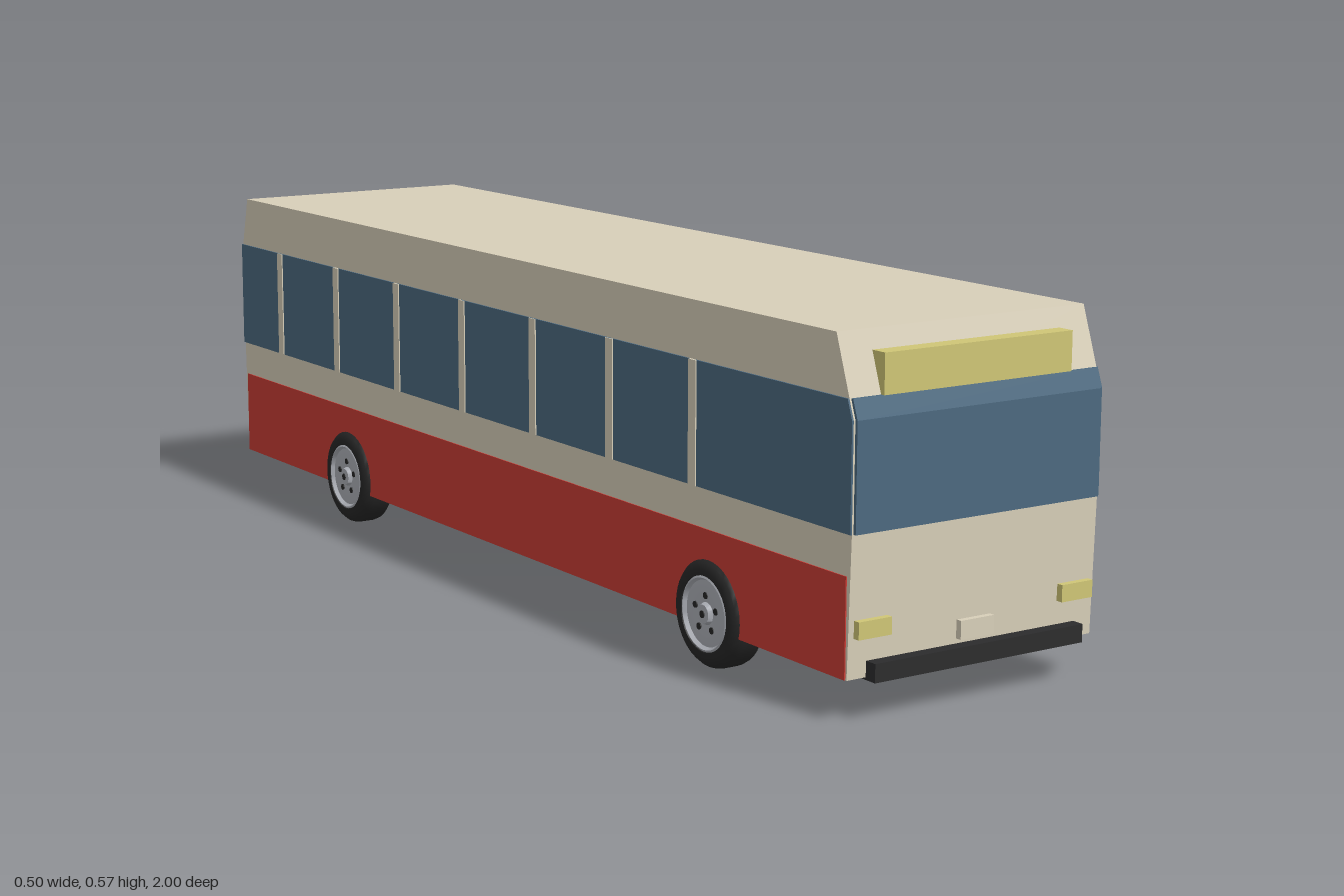
import * as THREE from 'three';
import { toCreasedNormals } from 'three/addons/utils/BufferGeometryUtils.js';

const material = (name, color, side = THREE.FrontSide) => {
  const m = new THREE.MeshStandardMaterial({ color, side });
  m.name = name;
  return m;
};

export function createModel() {
  const bus = new THREE.Group();
  bus.name = 'bus';
  const cream = material('cream paint', 0xd8cfb9);
  const red = material('red paint', 0xc93c35);
  const glass = material('blue glass', 0x4c697f);
  const yellow = material('yellow lamp', 0xcfc676);
  const rubber = material('black rubber', 0x262626);
  const bumperGrey = material('bumper black', 0x2c2c2d);
  const steel = material('wheel steel', 0xacafb6);
  const tailRed = material('tail lamp red', 0xc22f2c);

  const HALF = 0.235, FLOOR = 0.065, SILL = 0.283, TOP = 0.48;

  const add = (name, geometry, mat, parent = bus) => {
    const mesh = new THREE.Mesh(geometry, mat);
    mesh.name = name;
    parent.add(mesh);
    return mesh;
  };
  // Side profile given as [z, y] points, extruded from x0 to x1
  const profile = (name, points, x0, x1, mat) => {
    const shape = new THREE.Shape(points.map(p => new THREE.Vector2(...p)));
    const g = new THREE.ExtrudeGeometry(shape, { depth: x1 - x0, bevelEnabled: false });
    g.rotateY(-Math.PI / 2).translate(x1, 0, 0);
    return add(name, g, mat);
  };
  // Box given by its limits
  const box = (name, x0, x1, y0, y1, z0, z1, mat) => {
    const g = new THREE.BoxGeometry(x1 - x0, y1 - y0, z1 - z0);
    g.translate((x0 + x1) / 2, (y0 + y1) / 2, (z0 + z1) / 2);
    return add(name, g, mat);
  };
  // Thin plate on one side of the body (side = 1 left, -1 right)
  const sidePlate = (name, side, z0, z1, y0, y1, thick, mat) =>
    box(name, side > 0 ? HALF : -HALF - thick, side > 0 ? HALF + thick : -HALF, y0, y1, z0, z1, mat);

  // Body shell with raked roof ends
  profile('body', [
    [-0.978, FLOOR], [0.978, FLOOR], [0.985, SILL], [0.985, 0.45],
    [0.942, 0.572], [-0.962, 0.572], [-0.985, TOP], [-0.985, SILL],
  ], -HALF, HALF, cream);

  // Windscreen bends back with the roof rake; rear window is flat
  profile('windscreen', [
    [0.98, SILL], [0.99, SILL], [0.99, 0.45], [0.979, TOP], [0.97, TOP], [0.98, 0.45],
  ], -0.232, 0.232, glass);
  box('rearWindow', -0.232, 0.232, SILL, 0.472, -0.989, -0.98, glass);

  // Side windows and the pillars between them
  const pillars = [0.589, 0.355, 0.12, -0.115, -0.35, -0.584, -0.816];
  for (const side of [1, -1]) {
    const x0 = side > 0 ? HALF : -HALF - 0.003;
    profile('frontSideWindow', [
      [pillars[0], SILL], [0.985, SILL], [0.985, 0.45], [0.974, TOP], [pillars[0], TOP],
    ], x0, x0 + 0.003, glass);
    pillars.forEach((z, i) => {
      const end = i + 1 < pillars.length ? pillars[i + 1] : -0.985;
      sidePlate('sideWindow', side, end, z, SILL, TOP, 0.003, glass);
      sidePlate('windowPillar', side, z - 0.01, z + 0.01, SILL, TOP, 0.005, cream);
    });
  }

  // Doors on the left, with the red skirt broken around them
  const doors = [[0.755, 0.925], [-0.061, 0.109]];
  for (const [z0, z1] of doors) sidePlate('door', 1, z0, z1, FLOOR, SILL, 0.003, glass);
  for (const [z0, z1] of [[0.925, 0.975], [0.109, 0.755], [-0.975, -0.061]])
    sidePlate('skirtLeft', 1, z0, z1, FLOOR, 0.22, 0.002, red);
  sidePlate('skirtRight', -1, -0.975, 0.975, FLOOR, 0.22, 0.002, red);

  // Destination signs
  box('frontSign', -0.178, 0.178, TOP, 0.542, 0.945, 0.982, yellow);
  sidePlate('sideSign', 1, 0.41, 0.71, 0.494, 0.543, 0.004, yellow);

  // Lamps, plates and bumpers
  for (const s of [1, -1]) {
    const lamp = (name, a, b, y0, y1, z0, z1, mat) =>
      box(name, Math.min(s * a, s * b), Math.max(s * a, s * b), y0, y1, z0, z1, mat);
    lamp('headlight', 0.164, 0.225, 0.127, 0.154, 0.975, 0.992, yellow);
    lamp('tailLight', 0.176, 0.222, 0.118, 0.156, -0.992, -0.975, tailRed);
    box('numberPlate', -0.032, 0.032, 0.098, 0.127, s > 0 ? 0.97 : -0.99, s > 0 ? 0.99 : -0.97, cream);
    box('bumper', -0.2, 0.2, 0.061, 0.09, s > 0 ? 0.97 : -1, s > 0 ? 1 : -0.97, bumperGrey);
  }

  // Wheels: tyre, dished rim, hub cap and five slots
  const lathe = pts => toCreasedNormals(
    new THREE.LatheGeometry(pts.map(p => new THREE.Vector2(...p)), 40), 0.6);
  const tyre = lathe([
    [0, -0.027], [0.068, -0.029], [0.08, -0.026], [0.086, -0.02], [0.088, -0.012], [0.088, 0.014],
    [0.086, 0.022], [0.08, 0.029], [0.07, 0.034], [0.061, 0.033], [0.058, 0.026],
  ]);
  const rim = lathe([
    [0.061, 0.031], [0.057, 0.033], [0.053, 0.027], [0.034, 0.029], [0.018, 0.027],
    [0.015, 0.034], [0, 0.035],
  ]);
  const slot = new THREE.CylinderGeometry(0.0055, 0.0055, 0.003, 12);
  const cap = new THREE.CylinderGeometry(0.006, 0.006, 0.002, 16);
  for (const z of [0.632, -0.547]) for (const s of [1, -1]) {
    const wheel = new THREE.Group();
    wheel.name = 'wheel';
    add('tyre', tyre, rubber, wheel);
    add('rim', rim, steel, wheel);
    add('hubCap', cap, rubber, wheel).position.y = 0.035;
    for (let i = 0; i < 5; i++) {
      const a = i * Math.PI * 2 / 5;
      add('rimSlot', slot, rubber, wheel).position.set(0.029 * Math.cos(a), 0.0285, 0.029 * Math.sin(a));
    }
    wheel.rotation.z = -s * Math.PI / 2;
    wheel.position.set(s * 0.213, 0.088, z);
    bus.add(wheel);
  }
  return bus;
}
